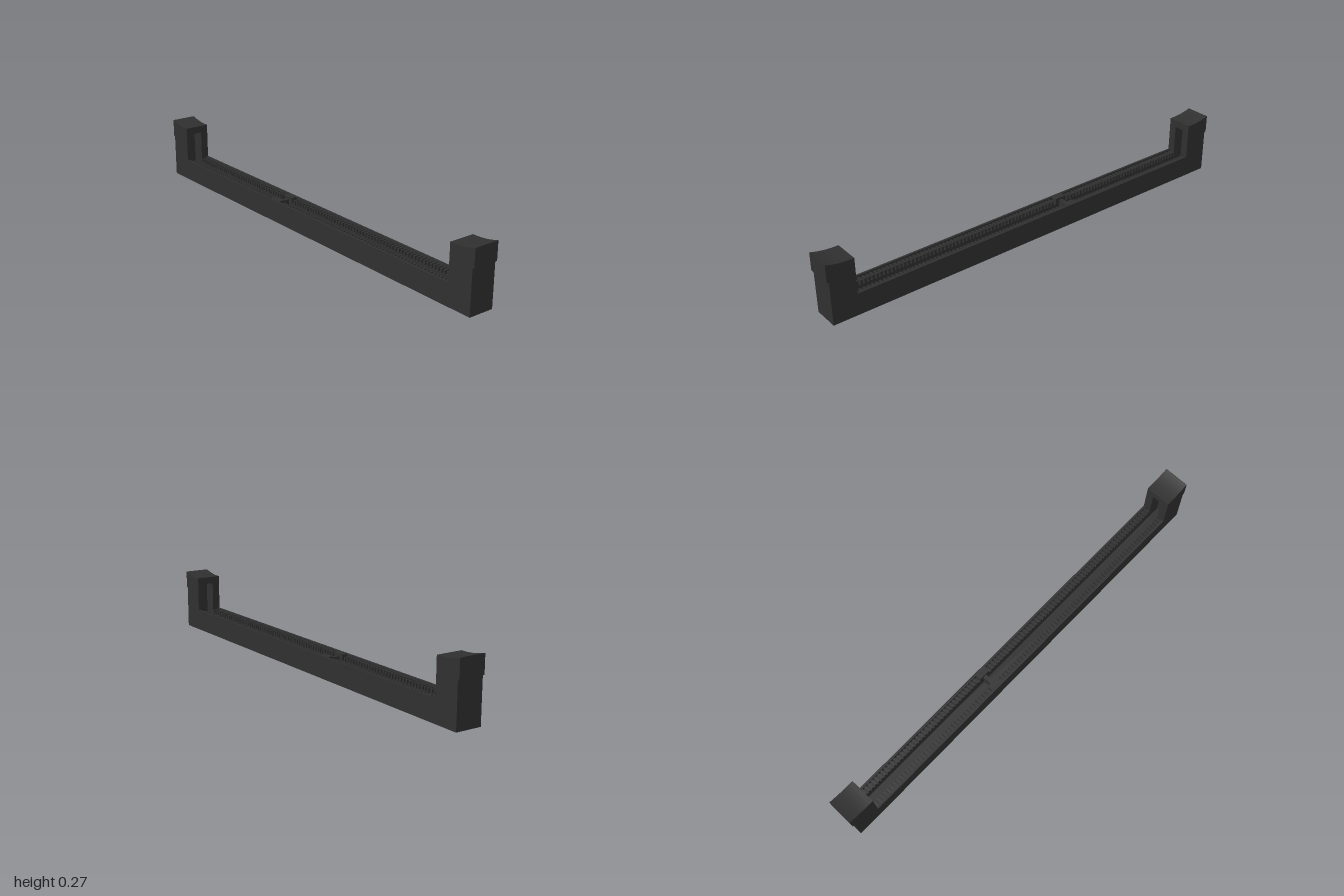
import * as THREE from 'three';
import { mergeGeometries } from 'three/addons/utils/BufferGeometryUtils.js';

const HALF_W = 0.057;   // half width of the housing
const SLOT = 0.022;     // half width of the card slot
const BASE_H = 0.095;   // height of the long rail
const INNER = 0.88;     // where the end towers begin
const END = 0.992;      // outer end of the housing
const KEY_Z = -0.18;    // position of the key in the slot

const plastic = new THREE.MeshStandardMaterial({ color: 0x303030 });

// Box given by its limits on each axis
function box(x0, x1, y0, y1, z0, z1) {
  return new THREE.BoxGeometry(x1 - x0, y1 - y0, z1 - z0)
    .translate((x0 + x1) / 2, (y0 + y1) / 2, (z0 + z1) / 2);
}

function part(name, geometries) {
  const mesh = new THREE.Mesh(mergeGeometries(geometries), plastic);
  mesh.name = name;
  return mesh;
}

// One end: tower with a guide groove, and the latch cap on top
function makeEnd(name) {
  const group = new THREE.Group();
  group.name = name;
  const grooveEnd = 0.94;
  group.add(part('tower', [
    box(-HALF_W, HALF_W, 0, 0.19, grooveEnd, END),
    box(-HALF_W, -SLOT, 0, 0.22, INNER, grooveEnd),
    box(SLOT, HALF_W, 0, 0.22, INNER, grooveEnd),
    box(-SLOT, SLOT, 0, 0.03, INNER, grooveEnd),
  ]));

  // Side profile of the latch with its concave, rising top
  const s = new THREE.Shape();
  s.moveTo(grooveEnd, 0.19);
  s.lineTo(1, 0.19);
  s.lineTo(1, 0.268);
  s.quadraticCurveTo(0.95, 0.253, 0.9, 0.252);
  s.lineTo(INNER, 0.252);
  s.lineTo(INNER, 0.22);
  s.lineTo(grooveEnd, 0.22);
  s.closePath();
  const latch = new THREE.ExtrudeGeometry(s, { depth: 2 * HALF_W, bevelEnabled: false, curveSegments: 8 });
  latch.translate(0, 0, -HALF_W).rotateY(-Math.PI / 2);
  group.add(part('latch', [latch]));
  return group;
}

export function createModel() {
  const model = new THREE.Group();
  model.name = 'cardSocket';

  // Long rail: floor, thin outer walls and the ledges under the contact cells
  const rail = [box(-HALF_W, HALF_W, 0, 0.03, -INNER, INNER)];
  for (const side of [-1, 1]) {
    const strip = (a, b, y0, y1, z0, z1) =>
      side > 0 ? box(a, b, y0, y1, z0, z1) : box(-b, -a, y0, y1, z0, z1);
    rail.push(strip(0.047, HALF_W, 0.03, BASE_H, -INNER, INNER));
    rail.push(strip(SLOT, 0.047, 0.03, 0.07, -INNER, INNER));
  }
  model.add(part('rail', rail));

  // Dividers between the contact cells, left out around the key
  const dividers = [];
  const count = 98, pitch = (2 * INNER) / count;
  for (let i = 0; i < count; i++) {
    const z = -INNER + (i + 0.5) * pitch;
    if (Math.abs(z - KEY_Z) < 0.03) continue;
    for (const x of [-0.047, SLOT]) {
      dividers.push(box(x, x + 0.025, 0.07, 0.088, z - pitch * 0.28, z + pitch * 0.28));
    }
  }
  model.add(part('contactDividers', dividers));

  // Key across the slot, with solid pads on both sides
  model.add(part('key', [
    box(-SLOT, SLOT, 0.03, 0.085, KEY_Z - 0.008, KEY_Z + 0.008),
    box(-0.047, -SLOT, 0.07, BASE_H, KEY_Z - 0.027, KEY_Z + 0.027),
    box(SLOT, 0.047, 0.07, BASE_H, KEY_Z - 0.027, KEY_Z + 0.027),
  ]));

  // Matching ends
  const back = makeEnd('backEnd');
  back.rotation.y = Math.PI;
  model.add(makeEnd('frontEnd'), back);
  return model;
}
